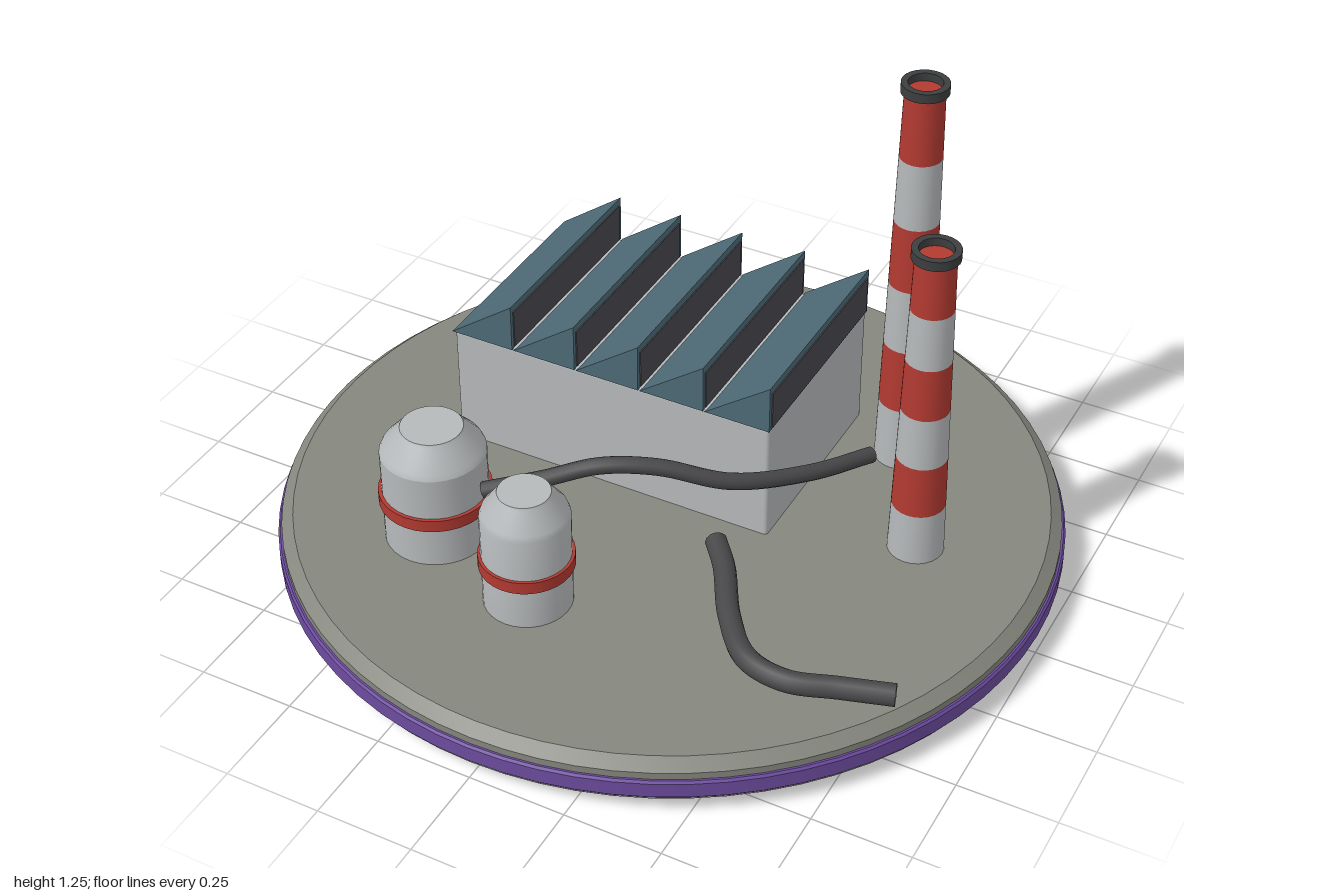
import * as THREE from 'three';
import { toCreasedNormals } from 'three/addons/utils/BufferGeometryUtils.js';
import { RoundedBoxGeometry } from 'three/addons/geometries/RoundedBoxGeometry.js';

const material = (name, color, side = THREE.FrontSide) => {
  const m = new THREE.MeshStandardMaterial({ color, side });
  m.name = name;
  return m;
};

const mats = {
  ground: material('ground grey', 0x85877e),
  purple: material('purple trim', 0x6d4c9f),
  paint: material('light grey', 0xb6b9bb),
  red: material('signal red', 0xb23a31),
  roof: material('roof blue', 0x4d6975),
  glass: material('dark glass', 0x47474e),
  pipe: material('dark pipe', 0x48484a, THREE.DoubleSide),
  cap: material('chimney cap', 0x3c3e3f),
};

const GROUND = 0.145;

function add(parent, name, geometry, mat, x = 0, y = 0, z = 0) {
  const mesh = new THREE.Mesh(geometry, mat);
  mesh.name = name;
  mesh.position.set(x, y, z);
  parent.add(mesh);
  return mesh;
}

// Turned solid from [radius, height] pairs, with sharp profile edges
function turned(profile, segments = 32) {
  const points = profile.map(([r, y]) => new THREE.Vector2(r, y));
  return toCreasedNormals(new THREE.LatheGeometry(points, segments), 0.4);
}

function group(parent, name, x = 0, z = 0) {
  const g = new THREE.Group();
  g.name = name;
  g.position.set(x, 0, z);
  parent.add(g);
  return g;
}

// Striped tapering chimney with an open ring on top
function chimney(parent, name, x, z, top) {
  const g = group(parent, name, x, z);
  const bands = 6, height = (top - GROUND) / bands;
  const radius = (i) => 0.071 - 0.021 * i / bands;
  for (let i = 0; i < bands; i++) {
    const geo = new THREE.CylinderGeometry(radius(i + 1), radius(i), height, 24, 1, i < bands - 1);
    add(g, 'chimneyBand' + (i + 1), geo, i % 2 ? mats.red : mats.paint, 0, GROUND + (i + 0.5) * height, 0);
  }
  add(g, 'chimneyCap', turned([
    [0.042, -0.004], [0.059, -0.004], [0.059, 0.021], [0.042, 0.021], [0.042, -0.004],
  ], 24), mats.cap, 0, top, 0);
}

// Storage tank with a chamfered crown and a red belt
function tank(parent, name, x, z, r) {
  const g = group(parent, name, x, z);
  add(g, 'tankBody', turned([
    [0, GROUND], [r, GROUND], [r, 0.405], [r * 0.95, 0.42], [r * 0.62, 0.468], [r * 0.59, 0.475], [0, 0.475],
  ]), mats.paint);
  const b = r * 1.07;
  add(g, 'tankBelt', turned([[r, 0.257], [b, 0.257], [b, 0.29], [r, 0.29]]), mats.red);
}

function pipe(parent, name, points, radius) {
  const curve = new THREE.CatmullRomCurve3(points.map((p) => new THREE.Vector3(...p)));
  add(parent, name, new THREE.TubeGeometry(curve, 48, radius, 12), mats.pipe);
}

export function createModel() {
  const model = new THREE.Group();
  model.name = 'factoryIsland';

  // Round base with chamfered rims and a purple belt
  add(model, 'base', turned([
    [0, 0], [0.95, 0], [0.99, 0.04], [0.99, 0.12], [0.96, GROUND], [0, GROUND],
  ], 72), mats.ground);
  add(model, 'baseBelt', turned([
    [0.985, 0.049], [0.995, 0.049], [1, 0.055], [1, 0.095], [0.995, 0.101], [0.985, 0.101],
  ], 72), mats.purple);

  // Factory hall
  const hall = group(model, 'hall', -0.145, -0.217);
  add(hall, 'hallWalls', new RoundedBoxGeometry(0.89, 0.345, 0.564, 2, 0.01), mats.paint, 0, 0.3025, 0);

  // Sawtooth roof: sloped teeth with glazed upright faces
  const teeth = 5, pitch = 0.18, rise = 0.13, depth = 0.572;
  const profile = new THREE.Shape();
  profile.moveTo(0, 0);
  profile.lineTo(pitch - 0.004, 0);
  profile.lineTo(pitch - 0.004, rise);
  profile.closePath();
  const tooth = new THREE.ExtrudeGeometry(profile, { depth, bevelEnabled: false });
  tooth.translate(0, 0, -depth / 2);
  for (let i = 0; i < teeth; i++) {
    const x = (i - teeth / 2) * pitch;
    add(hall, 'roofTooth' + (i + 1), tooth, mats.roof, x, 0.472, 0);
    add(hall, 'roofWindow' + (i + 1), new THREE.BoxGeometry(0.004, 0.104, 0.55), mats.glass,
      x + pitch - 0.003, 0.53, 0);
  }

  chimney(model, 'tallChimney', 0.463, -0.395, 1.229);
  chimney(model, 'shortChimney', 0.642, -0.073, 1.009);

  tank(model, 'largeTank', -0.432, 0.428, 0.132);
  tank(model, 'smallTank', -0.108, 0.538, 0.11);

  // Raised pipe from the large tank, and a pipe lying on the ground
  pipe(model, 'raisedPipe', [
    [-0.29, 0.33, 0.43], [-0.15, 0.385, 0.385], [-0.02, 0.435, 0.33], [0.1, 0.43, 0.265],
    [0.25, 0.378, 0.175], [0.38, 0.328, 0], [0.467, 0.29, -0.18],
  ], 0.021);
  pipe(model, 'groundPipe', [
    [0.22, 0.185, 0.185], [0.28, 0.183, 0.26], [0.37, 0.181, 0.41], [0.47, 0.18, 0.52],
    [0.58, 0.178, 0.543], [0.7, 0.176, 0.505], [0.825, 0.175, 0.465],
  ], 0.028);

  return model;
}
